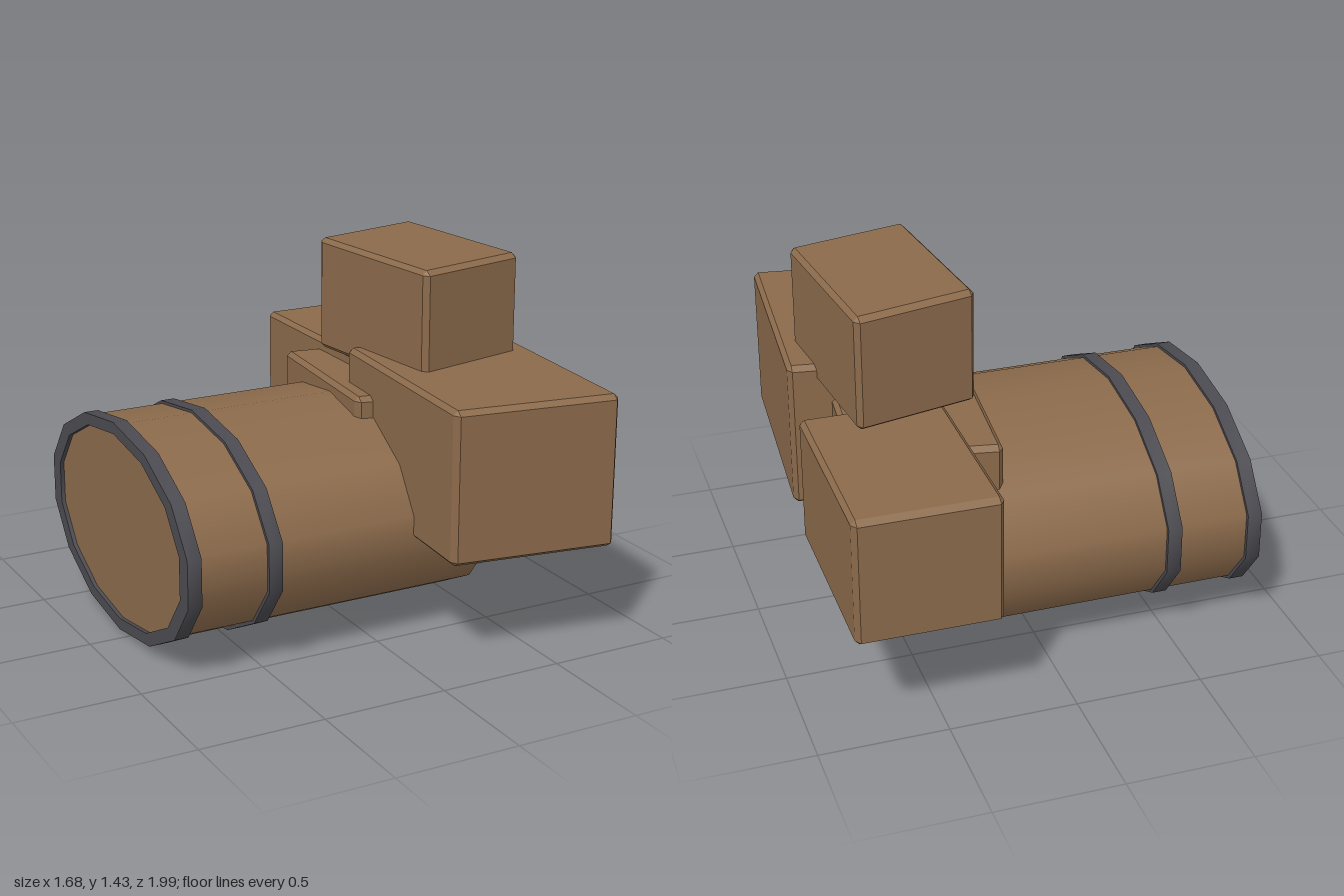
import * as THREE from 'three';
import { toCreasedNormals } from 'three/addons/utils/BufferGeometryUtils.js';
import { ConvexGeometry } from 'three/addons/geometries/ConvexGeometry.js';

const SIDES = 14;
const STRETCH = 1.44; // crates are stretched in depth after turning

const wood = new THREE.MeshStandardMaterial({ color: 0x8b6a4b });
wood.name = 'brown wood';
const iron = new THREE.MeshStandardMaterial({ color: 0x4a4a50 });
iron.name = 'dark iron';

// Box with every edge chamfered: three points near each corner, then the hull
function chamferedBox(w, h, d, c = 0.018) {
  const points = [];
  for (const sx of [-1, 1]) for (const sy of [-1, 1]) for (const sz of [-1, 1]) {
    for (let flush = 0; flush < 3; flush++) {
      const inset = [c, c, c];
      inset[flush] = 0;
      points.push(new THREE.Vector3(
        sx * (w / 2 - inset[0]), sy * (h / 2 - inset[1]), sz * (d / 2 - inset[2])));
    }
  }
  return new ConvexGeometry(points);
}

export function createModel() {
  const model = new THREE.Group();
  model.name = 'barrelAndCrates';

  const add = (name, geometry, material, x, y, z) => {
    const mesh = new THREE.Mesh(geometry, material);
    mesh.name = name;
    mesh.position.set(x, y, z);
    model.add(mesh);
  };

  // Barrel lying along x, with an oval section
  const barrelLength = 1.28;
  const barrel = new THREE.CylinderGeometry(1, 1, barrelLength, SIDES, 1, false, Math.PI / 2);
  barrel.rotateZ(Math.PI / 2).scale(1, 0.418, 0.665);
  add('barrel', barrel, wood, 0.455 - barrelLength / 2, 0.432, -0.08);

  // Iron hoops: one on the rim, one further along
  const half = 0.0285;
  const profile = [[1, -half], [1, half], [0.89, half], [0.89, -half], [1, -half]]
    .map(([r, y]) => new THREE.Vector2(r, y));
  [['rimHoop', -0.8125], ['middleHoop', -0.4825]].forEach(([name, x]) => {
    const lathe = new THREE.LatheGeometry(profile, SIDES, Math.PI / 2);
    const hoop = toCreasedNormals(lathe, 0.6);
    hoop.rotateZ(Math.PI / 2).scale(1, 0.43, 0.681);
    add(name, hoop, iron, x, 0.432, -0.08);
  });

  // Crates: name, width, depth, bottom, top, x, z, turn
  [
    ['frontCrate', 0.66, 0.662, 0.43, 1.035, 0.455, 0.472, -0.106],
    ['backCrate', 0.557, 0.563, 0.43, 0.945, 0.56, -0.593, -0.004],
    ['topCrate', 0.492, 0.51, 0.97, 1.43, 0.455, -0.005, 0.153],
    ['middleCrate', 0.558, 0.522, 0.43, 0.895, 0.387, -0.135, -0.126],
  ].forEach(([name, w, d, bottom, top, x, z, turn]) => {
    const crate = chamferedBox(w, top - bottom, d);
    crate.rotateY(turn).scale(1, 1, STRETCH);
    add(name, crate, wood, x, (bottom + top) / 2, z);
  });

  return model;
}
